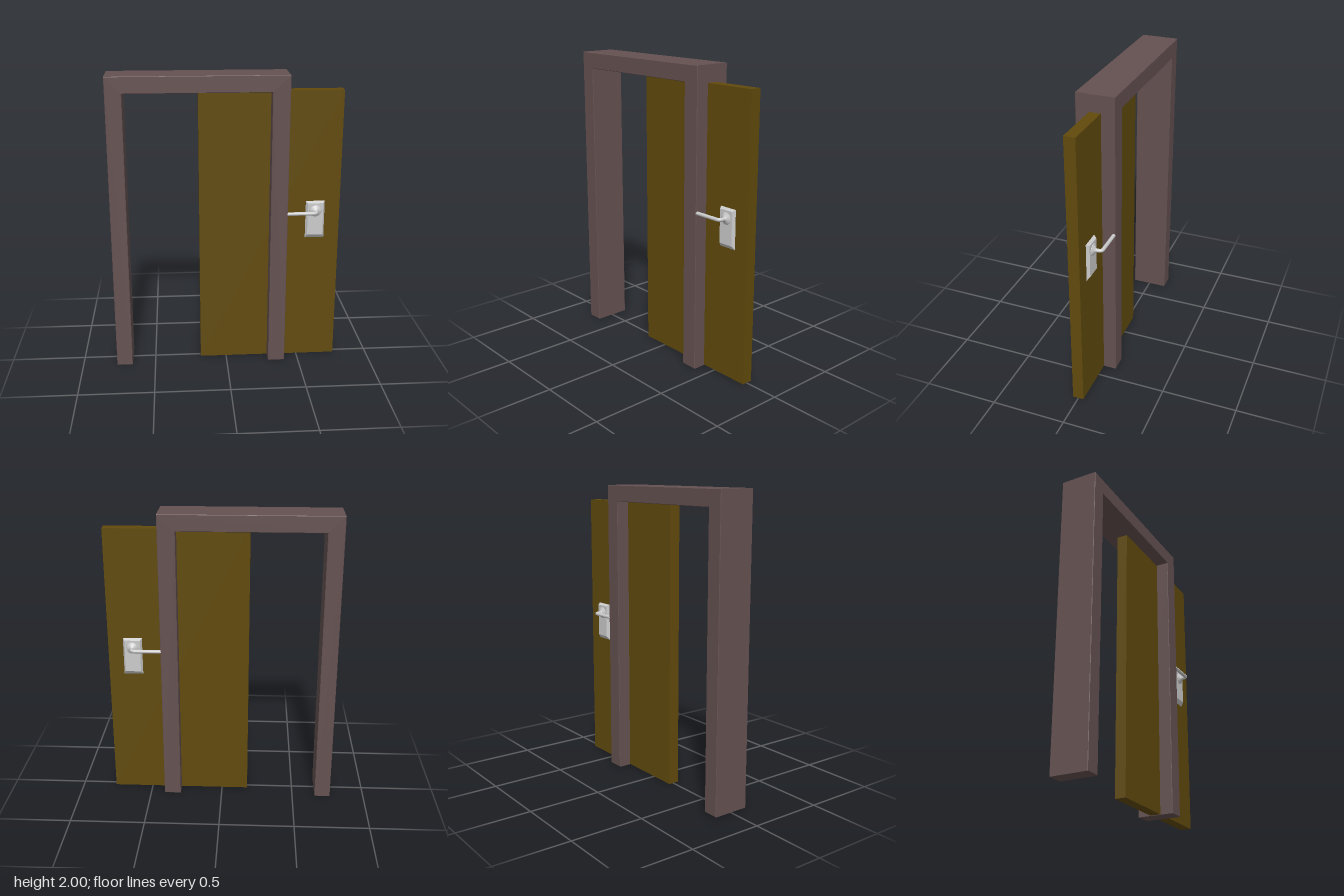
import * as THREE from 'three';

const wood = new THREE.MeshStandardMaterial({ color: 0x614a0c });
const trim = new THREE.MeshStandardMaterial({ color: 0x655151 });
const metal = new THREE.MeshStandardMaterial({ color: 0xcccccc });

const HANDLE = { x: 0.6, y: 1.08 };
const DOOR_HALF = 0.037;

function add(parent, name, geometry, material, x = 0, y = 0, z = 0) {
  const mesh = new THREE.Mesh(geometry, material);
  mesh.name = name;
  mesh.position.set(x, y, z);
  parent.add(mesh);
  return mesh;
}

// U-shaped surround with slightly eased edges
function frameGeometry() {
  const outline = [
    [-0.765, 0], [-0.658, 0], [-0.658, 1.892], [0.29, 1.892],
    [0.29, 0], [0.404, 0], [0.404, 2], [-0.765, 2],
  ].map(([x, y]) => new THREE.Vector2(x, y));
  const bevel = 0.003;
  const geometry = new THREE.ExtrudeGeometry(new THREE.Shape(outline), {
    depth: 0.25 - 2 * bevel,
    bevelSize: bevel,
    bevelOffset: -bevel,
    bevelThickness: bevel,
    bevelSegments: 1,
  });
  return geometry.translate(0, 0, -0.125 + bevel);
}

// Plate whose outer face is drawn in, with a longer slope at the bottom
function plateGeometry(side) {
  const w = 0.128, h = 0.26, d = 0.02;
  const geometry = new THREE.BoxGeometry(w, h, d);
  const p = geometry.attributes.position;
  for (let i = 0; i < p.count; i++) {
    if (p.getZ(i) * side < 0) continue;
    p.setX(i, p.getX(i) - Math.sign(p.getX(i)) * 0.012);
    p.setY(i, p.getY(i) > 0 ? h / 2 - 0.012 : -h / 2 + 0.026);
  }
  const flat = geometry.toNonIndexed();
  flat.computeVertexNormals();
  return flat;
}

// side is +1 for the front handle and -1 for the back one
function makeHandle(side) {
  const handle = new THREE.Group();
  handle.name = side > 0 ? 'frontHandle' : 'backHandle';

  add(handle, 'plate', plateGeometry(side), metal, HANDLE.x, 1.015, side * (DOOR_HALF + 0.01));

  // Stepped round collar
  const profile = [
    [0.04, 0], [0.04, 0.02], [0.036, 0.025], [0.027, 0.026],
    [0.024, 0.033], [0.014, 0.034], [0.012, 0.045], [0, 0.045],
  ].map(([r, y]) => new THREE.Vector2(r, y));
  const collar = new THREE.LatheGeometry(profile, 32);
  const collarMesh = add(handle, 'collar', collar, metal, HANDLE.x, HANDLE.y, side * DOOR_HALF);
  collarMesh.rotation.x = side * Math.PI / 2;

  // Bent lever: out of the collar, round the corner, along to the frame
  const v = (x, z) => new THREE.Vector3(x, 0, side * z);
  const path = new THREE.CurvePath();
  path.add(new THREE.LineCurve3(v(0.003, 0.06), v(0, 0.092)));
  path.add(new THREE.QuadraticBezierCurve3(v(0, 0.092), v(-0.002, 0.114), v(-0.024, 0.114)));
  path.add(new THREE.LineCurve3(v(-0.024, 0.114), v(-0.2, 0.114)));
  add(handle, 'lever', new THREE.TubeGeometry(path, 60, 0.012, 14), metal, HANDLE.x, HANDLE.y);
  const cap = add(handle, 'leverEnd', new THREE.CircleGeometry(0.012, 14), metal,
    HANDLE.x - 0.2, HANDLE.y, side * 0.114);
  cap.rotation.y = -Math.PI / 2;

  return handle;
}

export function createModel() {
  const model = new THREE.Group();
  model.name = 'slidingDoor';

  add(model, 'doorFrame', frameGeometry(), trim);
  add(model, 'doorPanel', new THREE.BoxGeometry(0.945, 1.886, DOOR_HALF * 2), wood, 0.2925, 0.946, 0);
  for (const side of [1, -1]) model.add(makeHandle(side));

  return model;
}
